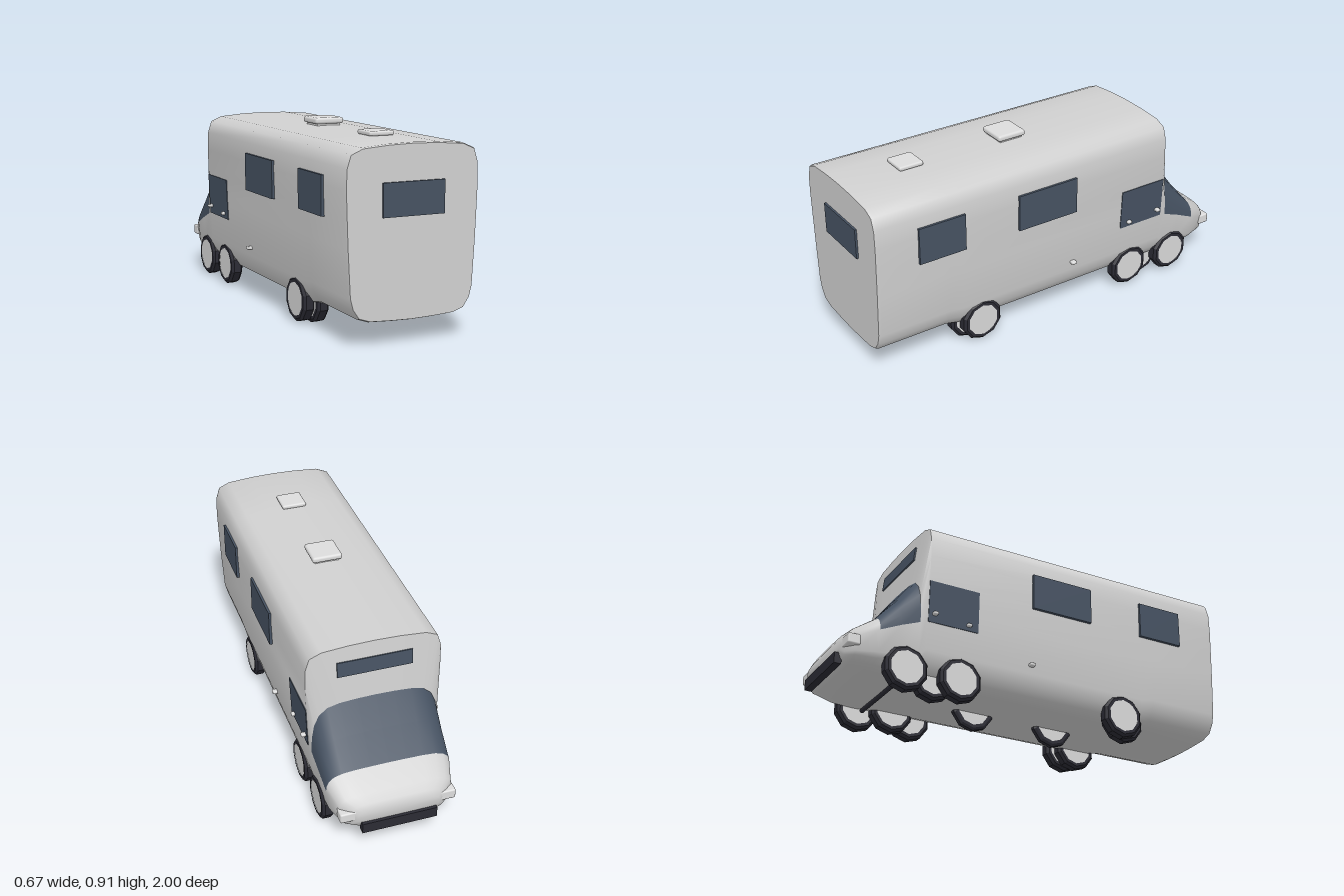
import * as THREE from 'three';
import { toCreasedNormals } from 'three/addons/utils/BufferGeometryUtils.js';
import { RoundedBoxGeometry } from 'three/addons/geometries/RoundedBoxGeometry.js';

const material = (name, color) => {
  const m = new THREE.MeshStandardMaterial({ color });
  m.name = name;
  return m;
};

// Half profile: [height fraction, width fraction on the house, width fraction on the cab]
const BELOW = [[0, 0, 0], [0.008, 0.32, 0.32], [0.026, 0.657, 0.657], [0.08, 0.827, 0.827],
  [0.21, 0.92, 0.92], [0.36, 0.962, 0.962]];
const ABOVE = [[0, 1, 1], [0.3, 1.016, 0.99], [0.57, 1.029, 0.955], [0.78, 1.022, 0.88],
  [0.915, 0.962, 0.75], [0.97, 0.785, 0.56], [0.993, 0.385, 0.29], [1, 0, 0]];

// Body sections from rear to nose: z, bottom, belt, top, half width at belt, cab roundness
const SECTIONS = [
  [0.99, 0.105, 0.43, 0.861, 0.308, 0],
  [0.975, 0.1, 0.43, 0.865, 0.312, 0],
  [0.62, 0.1, 0.43, 0.865, 0.312, 0],
  [0.55, 0.083, 0.43, 0.865, 0.312, 0],
  [-0.615, 0.083, 0.43, 0.865, 0.312, 0],
  [-0.65, 0.083, 0.335, 0.59, 0.305, 1],
  [-0.74, 0.083, 0.3, 0.465, 0.302, 1],
  [-0.84, 0.092, 0.255, 0.345, 0.297, 1],
  [-0.935, 0.11, 0.215, 0.28, 0.268, 1],
  [-0.97, 0.125, 0.2, 0.25, 0.225, 1],
  [-0.985, 0.16, 0.19, 0.222, 0.195, 1],
];

function ring([z, bottom, belt, top, w, round]) {
  const half = [];
  const add = (rows, y0, y1) => rows.forEach(([v, a, b]) =>
    half.push([w * THREE.MathUtils.lerp(a, b, round), THREE.MathUtils.lerp(y0, y1, v), z]));
  add(BELOW, bottom, belt);
  add(ABOVE, belt, top);
  const mirrored = half.slice(1, -1).reverse().map(([x, y, zz]) => [-x, y, zz]);
  return [...half, ...mirrored];
}

function shell(triangles) {
  const g = new THREE.BufferGeometry();
  g.setAttribute('position', new THREE.Float32BufferAttribute(triangles.flat(), 3));
  return toCreasedNormals(g, 0.95);
}

// Lofts the body; the strip above the belt on the sloping cab becomes the windshield
function buildShells() {
  const rings = SECTIONS.map(ring);
  const n = rings[0].length;
  const beltIndex = BELOW.length;
  const body = [], glass = [];
  for (let i = 0; i < rings.length - 1; i++) {
    const slope = SECTIONS[i][0] <= -0.65 && SECTIONS[i + 1][0] >= -0.84;
    for (let j = 0; j < n; j++) {
      const k = (j + 1) % n;
      const a = rings[i][j], b = rings[i][k], c = rings[i + 1][k], d = rings[i + 1][j];
      const target = slope && j >= beltIndex && j < n - beltIndex ? glass : body;
      target.push(a, d, c, a, c, b);
    }
  }
  const last = rings.length - 1;
  for (let j = 0; j < n; j++) {
    const k = (j + 1) % n;
    body.push([0, 0.45, SECTIONS[0][0]], rings[0][j], rings[0][k]);
    body.push([0, 0.19, SECTIONS[last][0]], rings[last][k], rings[last][j]);
  }
  return [shell(body), shell(glass)];
}

export function createModel() {
  const model = new THREE.Group();
  model.name = 'camper';
  const paint = material('bodyPaint', 0xd0d0d0);
  const glass = material('tintedGlass', 0x465262);
  const rubber = material('rubber', 0x2b2b34);
  const hubGrey = material('hubGrey', 0xd8d8d8);
  const trim = material('lightTrim', 0xdcdcdc);

  const add = (name, geometry, mat, x, y, z, parent = model) => {
    const mesh = new THREE.Mesh(geometry, mat);
    mesh.name = name;
    mesh.position.set(x, y, z);
    parent.add(mesh);
    return mesh;
  };
  const box = (w, h, d) => new THREE.BoxGeometry(w, h, d);

  const [bodyShell, windshield] = buildShells();
  add('body', bodyShell, paint, 0, 0, 0);
  add('windshield', windshield, glass, 0, 0, 0);

  // Windows at the rear and above the cab
  add('rearWindow', box(0.298, 0.148, 0.012), glass, 0, 0.628, 0.994);
  add('overCabWindow', box(0.356, 0.072, 0.009), glass, 0, 0.752, -0.631).rotation.x = 0.127;

  // Roof vents
  add('largeRoofVent', new RoundedBoxGeometry(0.148, 0.03, 0.148, 2, 0.012), trim, -0.002, 0.887, 0.118);
  add('largeVentBase', box(0.12, 0.02, 0.12), trim, -0.002, 0.868, 0.118);
  add('smallRoofVent', new RoundedBoxGeometry(0.124, 0.022, 0.124, 2, 0.009), trim, -0.002, 0.876, 0.652);

  // Wheel: ten-sided tyre with a pale hub on both faces
  const wheel = (name, x, z, width) => {
    const group = new THREE.Group();
    group.name = name;
    group.position.set(x, 0.104, z);
    group.rotation.z = Math.PI / 2;
    const r = 0.107, h = width / 2, b = Math.min(0.012, h * 0.4);
    const profile = [[0.08, -h], [r - 0.012, -h], [r, -h + b], [r, h - b], [r - 0.012, h], [0.08, h]]
      .map(([px, py]) => new THREE.Vector2(px, py));
    const tyre = new THREE.LatheGeometry(profile, 10, Math.PI / 10);
    add('tyre', toCreasedNormals(tyre, 0.3), rubber, 0, 0, 0, group);
    add('hub', new THREE.CylinderGeometry(0.081, 0.081, width - 0.004, 16), hubGrey, 0, 0, 0, group);
    model.add(group);
  };

  for (const s of [1, -1]) {
    const side = s > 0 ? 'left' : 'right';

    // Living area windows
    add(side + 'RearSideWindow', box(0.016, 0.18, 0.24), glass, s * 0.323, 0.63, 0.66);
    add(side + 'MiddleSideWindow', box(0.016, 0.18, 0.325), glass, s * 0.323, 0.63, 0.088);

    // Cab door window follows the lean of the wall
    add(side + 'CabWindow', box(0.008, 0.205, 0.255), glass, s * 0.3115, 0.4475, -0.4875)
      .rotation.z = -s * 0.045;

    // Small fittings on the walls
    add(side + 'DoorHandle', new RoundedBoxGeometry(0.026, 0.016, 0.024, 2, 0.006), trim, s * 0.315, 0.371, -0.41);
    add(side + 'Mirror', new RoundedBoxGeometry(0.03, 0.016, 0.024, 2, 0.006), trim, s * 0.32, 0.387, -0.585);
    add(side + 'FuelCap', new RoundedBoxGeometry(0.03, 0.016, 0.028, 2, 0.006), trim, s * 0.311, 0.25, -0.075);

    // Headlight
    add(side + 'Headlight', new RoundedBoxGeometry(0.08, 0.05, 0.06, 2, 0.008), trim, s * 0.235, 0.197, -0.948);

    // Outer wheels and the recessed ones behind them
    wheel(side + 'RearWheel', s * 0.272, 0.44, 0.06);
    wheel(side + 'RearInnerWheel', s * 0.222, 0.48, 0.06);
    wheel(side + 'MiddleWheel', s * 0.272, -0.437, 0.06);
    wheel(side + 'MiddleInnerWheel', s * 0.222, -0.55, 0.06);
    wheel(side + 'FrontWheel', s * 0.272, -0.705, 0.06);
  }

  // Narrow wheels on the centre line, mostly inside the floor
  wheel('centreRearWheel', 0, 0.21, 0.036);
  wheel('centreFrontWheel', 0, -0.225, 0.036);

  // Front axle and bumper
  const axle = add('frontAxle', new THREE.CylinderGeometry(0.011, 0.011, 0.42, 8), rubber, 0, 0.078, -0.7);
  axle.rotation.z = Math.PI / 2;
  add('bumper', box(0.356, 0.052, 0.034), rubber, 0, 0.134, -0.983);

  return model;
}
